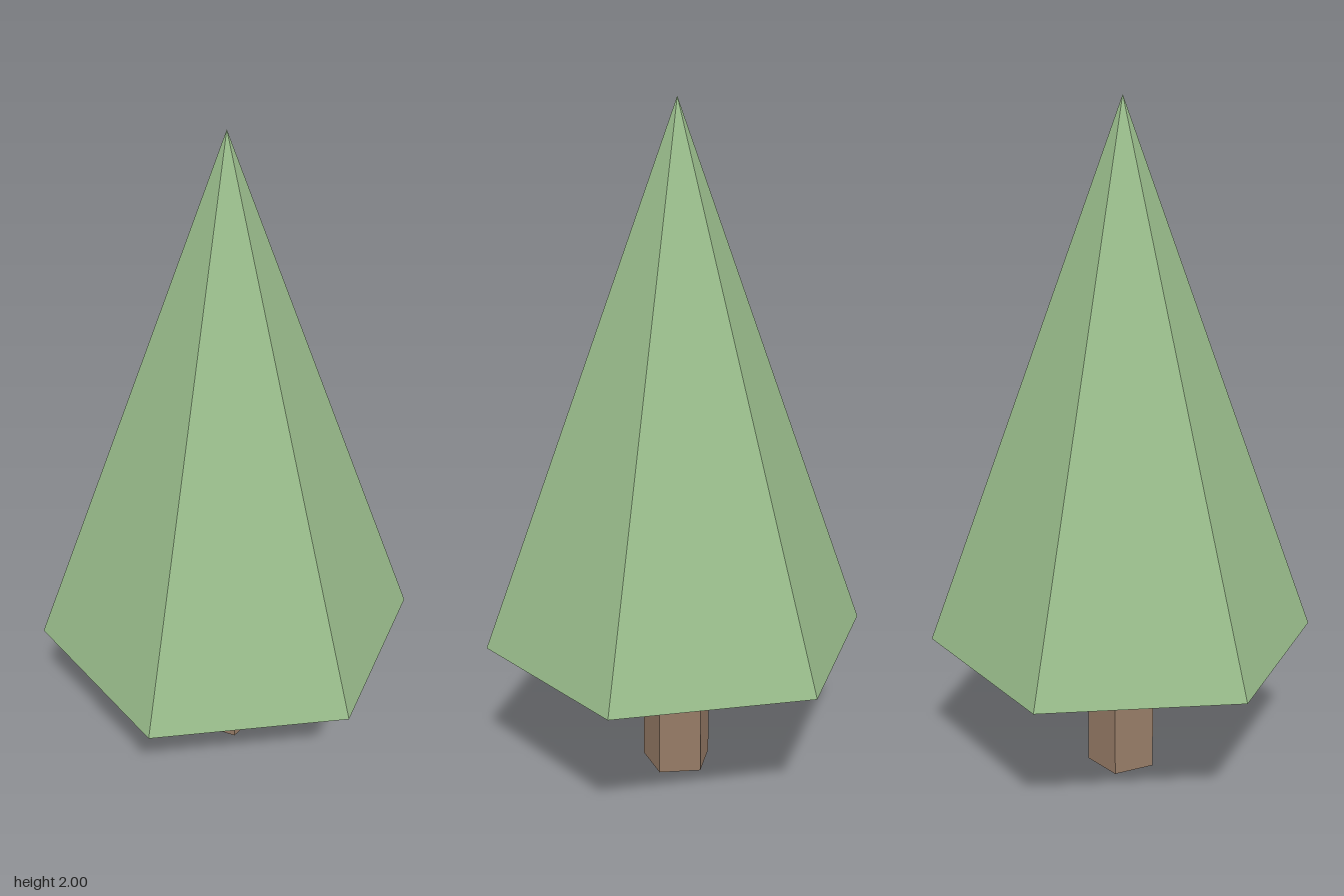
import * as THREE from 'three';

const BASE = 0.43; // height where the foliage starts
const TOP = 2;

export function createModel() {
  const group = new THREE.Group();
  group.name = 'tree';

  const leafGreen = new THREE.MeshStandardMaterial({ color: 0x9abd8c, flatShading: true });
  leafGreen.name = 'leafGreen';
  const barkBrown = new THREE.MeshStandardMaterial({ color: 0x967b66, flatShading: true });
  barkBrown.name = 'barkBrown';

  // Five-sided trunk, flat side to the front
  const trunk = new THREE.Mesh(new THREE.CylinderGeometry(0.107, 0.107, BASE, 5), barkBrown);
  trunk.name = 'trunk';
  trunk.position.y = BASE / 2;
  trunk.rotation.y = Math.PI;
  group.add(trunk);

  // Six-sided foliage cone, edge to the front
  const foliage = new THREE.Mesh(new THREE.ConeGeometry(0.575, TOP - BASE, 6), leafGreen);
  foliage.name = 'foliage';
  foliage.position.y = (BASE + TOP) / 2;
  group.add(foliage);

  return group;
}
